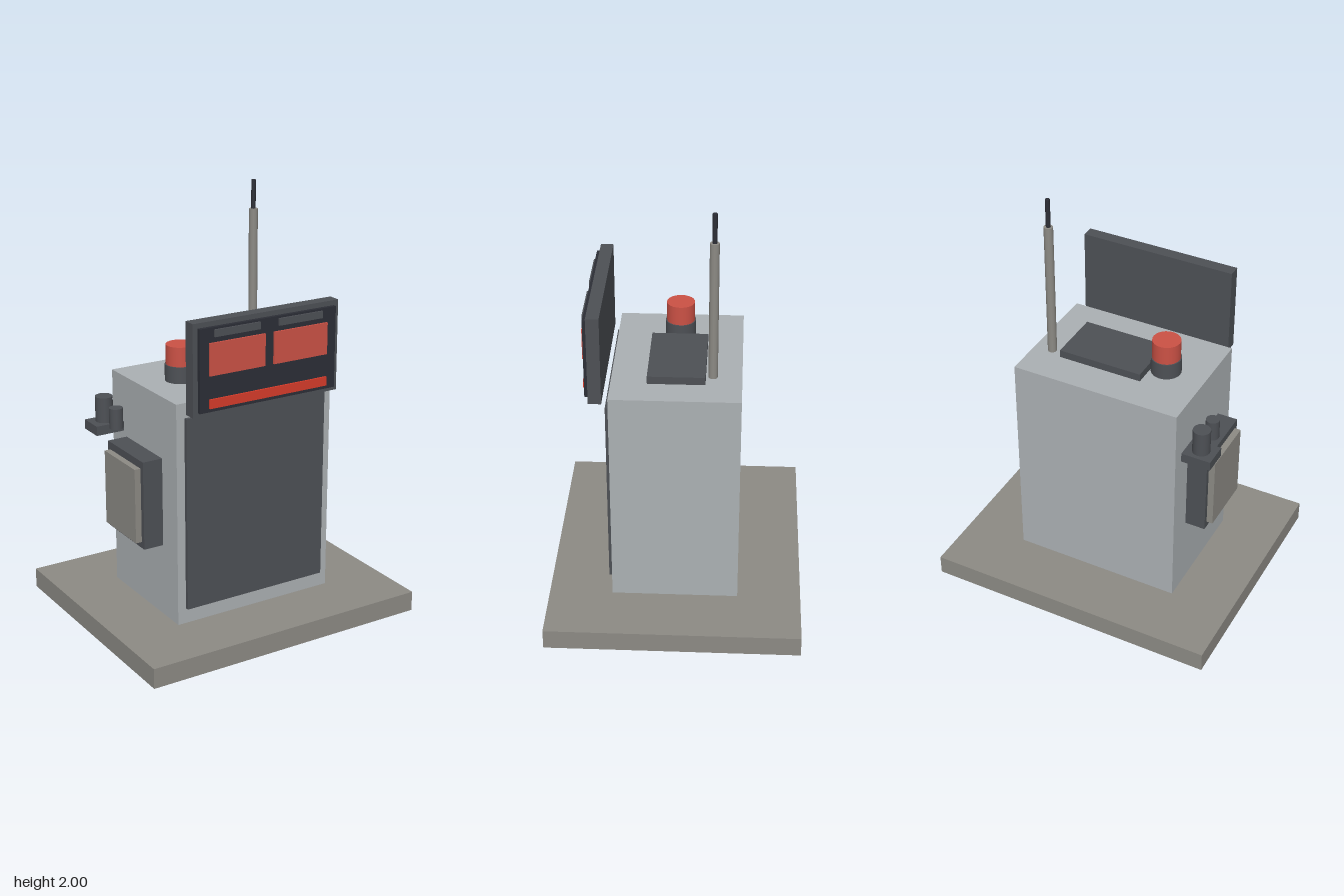
import * as THREE from 'three';

const paint = (name, color) => {
  const m = new THREE.MeshStandardMaterial({ color });
  m.name = name;
  return m;
};

export function createModel() {
  const model = new THREE.Group();
  model.name = 'terminal';

  const stone = paint('warm stone grey', 0x8c8a84);
  const shell = paint('light shell grey', 0xabb0b3);
  const dark = paint('dark slate', 0x4d5055);
  const black = paint('near black', 0x2c2e36);
  const red = paint('lamp red', 0xcb5145);
  const bright = paint('bright red', 0xd63b2a);

  // Box given by its limits on each axis
  const box = (name, mat, [x0, x1], [y0, y1], [z0, z1], parent = model) => {
    const mesh = new THREE.Mesh(new THREE.BoxGeometry(x1 - x0, y1 - y0, z1 - z0), mat);
    mesh.position.set((x0 + x1) / 2, (y0 + y1) / 2, (z0 + z1) / 2);
    mesh.name = name;
    parent.add(mesh);
  };

  // Upright cylinder between two heights
  const post = (name, mat, x, z, r, y0, y1, sides = 20, parent = model) => {
    const mesh = new THREE.Mesh(new THREE.CylinderGeometry(r, r, y1 - y0, sides), mat);
    mesh.position.set(x, (y0 + y1) / 2, z);
    mesh.name = name;
    parent.add(mesh);
  };

  const group = (name) => {
    const g = new THREE.Group();
    g.name = name;
    model.add(g);
    return g;
  };

  // Plinth, cabinet and front door
  box('plinth', stone, [-0.708, 0.708], [0, 0.096], [-0.592, 0.592]);
  box('cabinet', shell, [-0.412, 0.409], [0.096, 1.16], [-0.295, 0.295]);
  box('frontDoor', dark, [-0.371, 0.367], [0.17, 1.09], [0.295, 0.312]);

  // Raised display with two screens, two label plates and a status bar
  const display = group('display');
  box('displayHousing', dark, [-0.38, 0.377], [1.117, 1.54], [0.326, 0.385], display);
  box('displayPanel', black, [-0.356, 0.353], [1.138, 1.517], [0.385, 0.402], display);
  for (const x of [-0.168, 0.162]) {
    box('screen', red, [x - 0.142, x + 0.142], [1.303, 1.45], [0.402, 0.411], display);
    box('labelPlate', dark, [x - 0.116, x + 0.116], [1.474, 1.507], [0.402, 0.41], display);
  }
  box('statusBar', bright, [-0.31, 0.304], [1.155, 1.197], [0.402, 0.411], display);

  // Roof hatch and beacon
  box('roofHatch', dark, [-0.149, 0.262], [1.16, 1.197], [-0.131, 0.131]);
  const beacon = group('beacon');
  post('beaconBase', dark, -0.217, 0, 0.071, 1.16, 1.238, 24, beacon);
  post('beaconLamp', red, -0.217, 0, 0.066, 1.238, 1.33, 24, beacon);

  // Antenna mast and tip
  const antenna = group('antenna');
  post('antennaMast', stone, 0.281, -0.165, 0.021, 1.215, 1.865, 12, antenna);
  post('antennaTip', black, 0.281, -0.165, 0.011, 1.865, 2, 10, antenna);

  // Side unit on the model's right
  const side = group('sideUnit');
  box('sideBox', dark, [-0.51, -0.412], [0.445, 0.868], [-0.165, 0.165], side);
  box('sideCover', stone, [-0.54, -0.51], [0.475, 0.832], [-0.143, 0.142], side);
  box('shelf', dark, [-0.571, -0.43], [0.905, 0.95], [-0.274, -0.155], side);
  post('tallKnob', dark, -0.5, -0.215, 0.041, 0.95, 1.07, 16, side);
  post('shortKnob', dark, -0.5, -0.098, 0.032, 0.95, 1.047, 16, side);

  return model;
}
